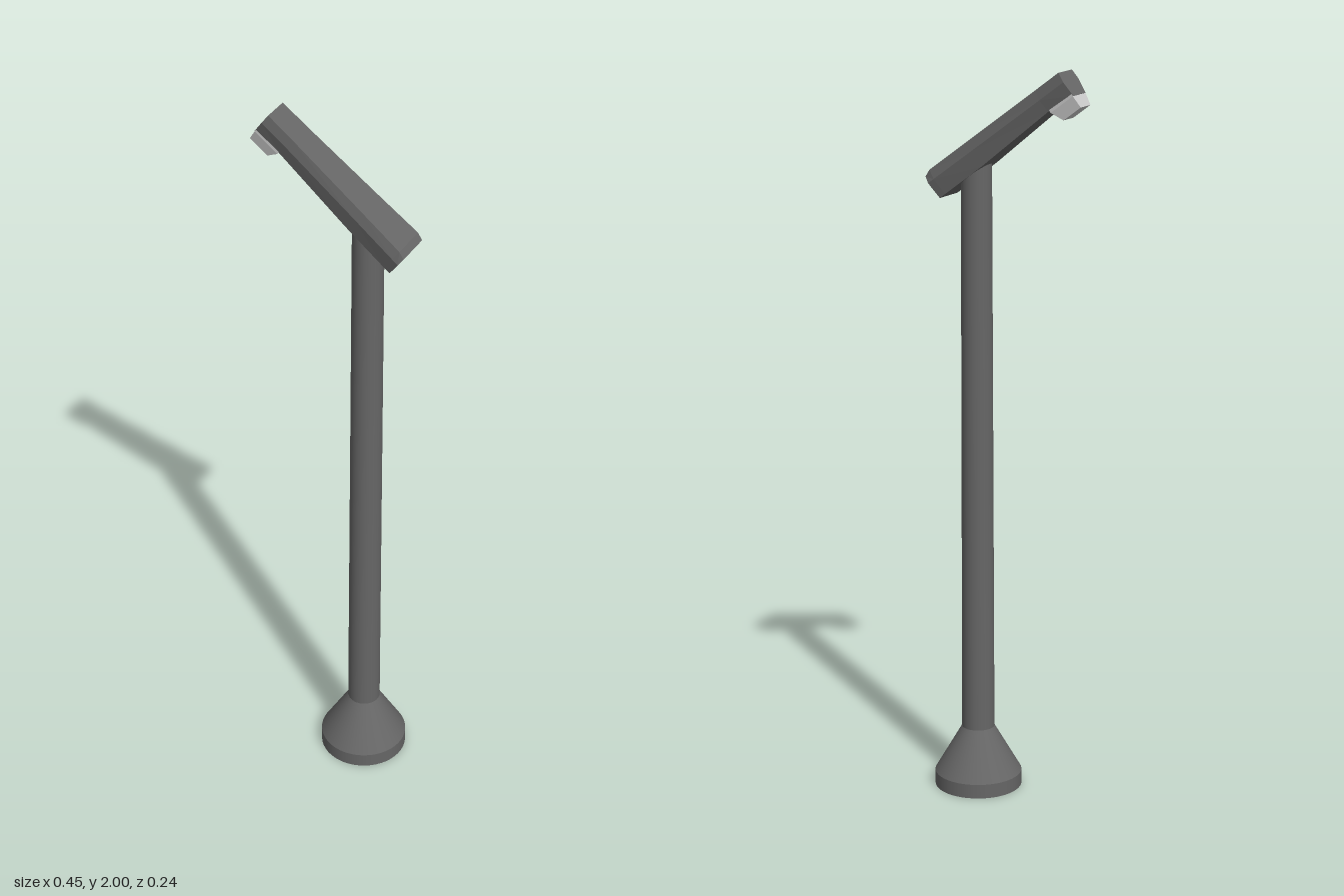
import * as THREE from 'three';

const bodyMaterial = new THREE.MeshStandardMaterial({ color: 0x666666 });
const armMaterial = new THREE.MeshStandardMaterial({ color: 0x666666, flatShading: true });
const lensMaterial = new THREE.MeshStandardMaterial({ color: 0xcccccc, flatShading: true });

// Skins a row of equal-sized rings of points and closes both ends.
function loft(rings) {
  const n = rings[0].length;
  const index = [];
  for (let i = 0; i < rings.length - 1; i++) {
    for (let j = 0; j < n; j++) {
      const a = i * n + j, b = i * n + (j + 1) % n;
      index.push(a, b, b + n, a, b + n, a + n);
    }
  }
  const last = (rings.length - 1) * n;
  for (let j = 1; j < n - 1; j++) {
    index.push(0, j + 1, j, last, last + j, last + j + 1);
  }
  const geometry = new THREE.BufferGeometry();
  geometry.setAttribute('position', new THREE.Float32BufferAttribute(rings.flat(2), 3));
  geometry.setIndex(index);
  const flat = geometry.toNonIndexed();
  flat.computeVertexNormals();
  return flat;
}

// Six-sided arm section: narrower top and bottom, widest above the middle.
function armSection([x, top, bottom, half]) {
  const mid = -0.028;
  return [
    [x, top, half * 0.88], [x, mid, half], [x, bottom, half * 0.8],
    [x, bottom, -half * 0.8], [x, mid, -half], [x, top, -half * 0.88],
  ];
}

function lensSection(y, x0, x1, half) {
  return [[x1, y, half], [x0, y, half], [x0, y, -half], [x1, y, -half]];
}

export function createModel() {
  const model = new THREE.Group();
  const add = (parent, name, geometry, material) => {
    const mesh = new THREE.Mesh(geometry, material);
    mesh.name = name;
    parent.add(mesh);
    return mesh;
  };
  const poleX = 0.095;

  // Flared foot: short rim, then a cone up to the pole
  const rim = add(model, 'baseRim', new THREE.CylinderGeometry(0.12, 0.12, 0.04, 48), bodyMaterial);
  rim.position.set(poleX, 0.02, 0);
  const flare = add(model, 'baseFlare', new THREE.CylinderGeometry(0.045, 0.12, 0.13, 48), bodyMaterial);
  flare.position.set(poleX, 0.105, 0);

  // Slightly tapered pole, ending inside the arm
  const pole = add(model, 'pole', new THREE.CylinderGeometry(0.041, 0.045, 1.595, 32), bodyMaterial);
  pole.position.set(poleX, 0.16 + 1.595 / 2, 0);

  // Tilted lamp head, with its origin at the raised tip
  const head = new THREE.Group();
  head.name = 'lampHead';
  head.position.set(-0.166, 2, 0);
  head.rotation.z = -0.636;
  model.add(head);

  const stations = [
    [0, 0, -0.07, 0.042],
    [0.085, 0, -0.064, 0.043],
    [0.33, 0, -0.075, 0.052],
    [0.465, 0, -0.076, 0.058],
    [0.486, -0.008, -0.076, 0.058],
  ];
  add(head, 'arm', loft(stations.map(armSection)), armMaterial);

  // Tapered lens under the tip
  add(head, 'lens', loft([
    lensSection(-0.055, 0.001, 0.08, 0.035),
    lensSection(-0.07, 0.001, 0.08, 0.035),
    lensSection(-0.104, 0.003, 0.064, 0.027),
  ]), lensMaterial);

  return model;
}
